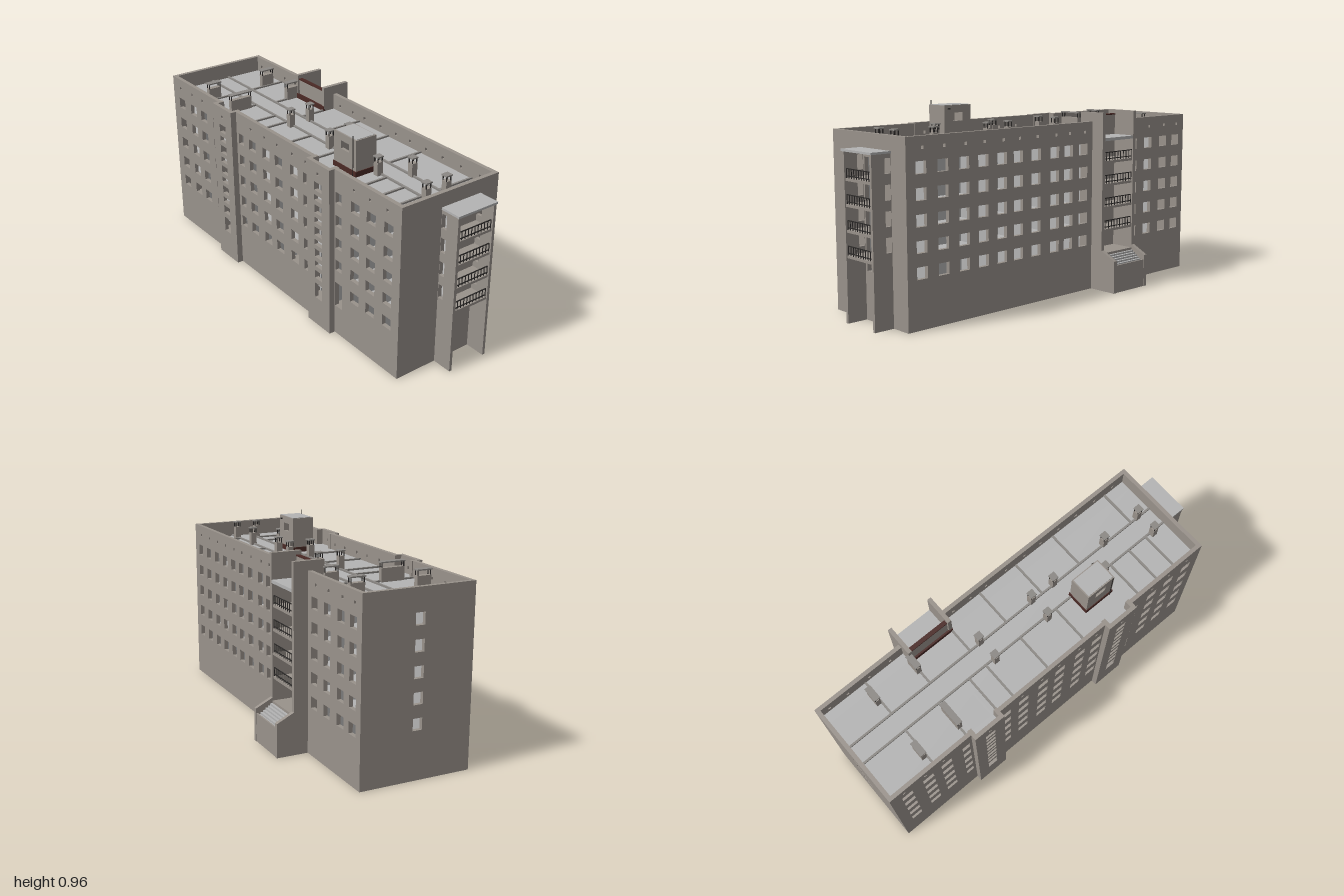
import * as THREE from 'three';

const mat = (name, color) => Object.assign(new THREE.MeshStandardMaterial({ color }), { name });

export function createModel() {
  const concrete = mat('concrete', 0x99928b);
  const panel = mat('light grey panel', 0xb4b4b4);
  const dark = mat('dark metal', 0x2c2a29);
  const flashing = mat('red brown flashing', 0x4a2925);
  const seam = mat('seam', 0x8c8985);
  const root = new THREE.Group();
  root.name = 'apartmentBlock';

  // box given by its limits
  const box = (name, m, x0, x1, y0, y1, z0, z1, parent = root) => {
    const b = new THREE.Mesh(new THREE.BoxGeometry(x1 - x0, y1 - y0, z1 - z0), m);
    b.position.set((x0 + x1) / 2, (y0 + y1) / 2, (z0 + z1) / 2);
    b.name = name;
    parent.add(b);
    return b;
  };
  // upright wall with rectangular holes [cx, cy, w, h]; z0 is its back face
  const wall = (name, a, b, y0, y1, z0, holes = [], t = 0.02) => {
    const rect = (P, l, r, d, u) => {
      const p = new P();
      p.moveTo(l, d); p.lineTo(r, d); p.lineTo(r, u); p.lineTo(l, u); p.closePath();
      return p;
    };
    const s = rect(THREE.Shape, a, b, y0, y1);
    for (const [cx, cy, w, h] of holes) s.holes.push(rect(THREE.Path, cx - w / 2, cx + w / 2, cy - h / 2, cy + h / 2));
    const m = new THREE.Mesh(new THREE.ExtrudeGeometry(s, { depth: t, bevelEnabled: false }), concrete);
    m.position.z = z0;
    m.name = name;
    root.add(m);
    return m;
  };
  // same wall turned to run along z, with its outer face (+x) at x
  const endWall = (name, x, z0, z1, y0, y1, holes, t = 0.02) => {
    const m = wall(name, z0, z1, y0, y1, 0, holes, t);
    m.rotation.y = -Math.PI / 2;
    m.position.set(x, 0, 0);
    return m;
  };

  const L = -0.995, R = 0.89, F = 0.335, B = -0.21, TOP = 0.85, BASE = 0.145, ROOF = 0.77;
  const rows = [0.255, 0.37, 0.485, 0.6, 0.715];
  const towers = [[-0.535, -0.365], [0.27, 0.44]];
  const bay = [-0.515, -0.265];

  // solid base
  box('base', concrete, L, R, 0, BASE, B, F);
  for (const [a, b] of towers) box('towerBase', concrete, a, b, 0, BASE, F, 0.365);

  // front and back walls with window grids [x, width]
  const grid = (cols, lo, hi) => {
    const h = [];
    for (const [x, w] of cols) {
      if (x < lo || x > hi) continue;
      rows.forEach((y, i) => {
        if (x === 0.468 && i === 0) h.push([x, 0.213, 0.052, 0.128]);
        else h.push([x, y, w, 0.055]);
      });
      if (w > 0.05) h.push([x - 0.01, 0.8, 0.014, 0.014]);
    }
    return h;
  };
  const frontCols = [[-0.91, 0.058], [-0.79, 0.06], [-0.685, 0.06], [-0.57, 0.043], [-0.325, 0.043], [-0.225, 0.06],
    [-0.105, 0.06], [0, 0.06], [0.125, 0.06], [0.23, 0.06], [0.468, 0.045], [0.585, 0.06], [0.695, 0.06], [0.81, 0.058]];
  const backCols = [[0.81, 0.058], [0.69, 0.06], [0.57, 0.06], [0.457, 0.06], [0.343, 0.06], [0.24, 0.06], [0.125, 0.06],
    [0, 0.06], [-0.095, 0.06], [-0.2, 0.06], [-0.577, 0.06], [-0.697, 0.06], [-0.82, 0.06], [-0.925, 0.058]];
  for (const [a, b] of [[L, -0.535], [-0.365, 0.27], [0.44, R]])
    wall('frontWall', a, b, BASE, TOP, F - 0.02, grid(frontCols, a, b));
  for (const [a, b] of [[L, bay[0]], [bay[1], R]])
    wall('backWall', a, b, BASE, TOP, B, grid(backCols, a, b));

  // end walls, open at the ends of the corridor
  const ends = rows.map(y => [0.066, y, 0.046, 0.055]);
  const doors = rows.map((y, i) => (i ? [0.066, y - 0.014, 0.05, 0.083] : [0.066, y, 0.04, 0.055]));
  endWall('rightEndWall', L + 0.02, B + 0.02, F - 0.02, BASE, TOP, ends);
  endWall('leftEndWall', R, B + 0.02, F - 0.02, BASE, TOP, doors);

  // front stair towers
  for (const [a, b] of towers) {
    const c = (a + b) / 2;
    const holes = [[c, 0.187, 0.055, 0.08]];
    for (let i = 0; i < 9; i++) holes.push([c, 0.275 + i * 0.0575, 0.055, i % 2 ? 0.028 : 0.042]);
    holes.push([c, 0.8, 0.014, 0.014]);
    wall('towerFront', a, b, BASE, TOP, 0.345, holes);
    for (const x of [a, b - 0.02]) box('towerSide', concrete, x, x + 0.02, BASE, TOP, F - 0.025, 0.345);
    box('towerRoof', panel, a + 0.02, b - 0.02, ROOF - 0.015, ROOF, F - 0.03, 0.345);
    for (let i = 0; i < 5; i++) box('stairLanding', panel, a + 0.02, b - 0.02, 0.2 + i * 0.115, 0.207 + i * 0.115, 0.26, 0.345);
    for (const x of [a + 0.02, b - 0.03]) box('stairWall', panel, x, x + 0.01, BASE, ROOF, 0.1, 0.31);
  }

  // floors and flat roof, cut back behind the rear bay
  const slab = (name, y, t) => {
    box(name, panel, L + 0.02, R - 0.02, y - t, y, -0.14, F - 0.02);
    box(name, panel, L + 0.02, bay[0], y - t, y, B + 0.02, -0.14);
    box(name, panel, bay[1], R - 0.02, y - t, y, B + 0.02, -0.14);
  };
  for (let i = 1; i < 5; i++) slab('floor', 0.195 + i * 0.115, 0.01);
  slab('roof', ROOF, 0.02);

  // corridor walls, with gaps where facing rooms connect
  const gaps = [[-0.105, -0.075], [-0.025, 0.01], [0.665, 0.7]];
  for (const z of [0, 0.1]) {
    let x = L + 0.02;
    for (const [a, b] of [...gaps, [R - 0.02, 0]]) {
      box('corridorWall', panel, x, a, BASE, ROOF - 0.01, z, z + 0.01);
      x = b;
    }
    box('roofSeam', seam, L + 0.02, R - 0.02, ROOF, ROOF + 0.008, z, z + 0.01);
  }
  // room partitions and the roof seams above them
  const partition = (x, z0, z1) => {
    box('partition', panel, x - 0.005, x + 0.005, BASE, ROOF - 0.01, z0, z1);
    box('roofSeam', seam, x - 0.005, x + 0.005, ROOF, ROOF + 0.008, z0, z1);
  };
  for (const x of [-0.735, -0.51, -0.27, -0.05, 0.175, 0.41, 0.75]) partition(x, x === -0.51 || x === -0.27 ? -0.13 : B + 0.02, 0);
  for (const x of [-0.735, -0.54, -0.36, -0.26, -0.05, 0.17, 0.52, 0.64, 0.75]) partition(x, 0.11, F - 0.02);

  // railing along x or z, from a to b at fixed depth d
  const railing = (axis, a, b, y, d) => {
    const g = new THREE.Group();
    g.name = 'railing';
    const bar = (p, q, y0, y1, t) => (axis === 'x'
      ? box('bar', dark, p, q, y0, y1, d - t, d + t, g)
      : box('bar', dark, d - t, d + t, y0, y1, p, q, g));
    for (const h of [0.008, 0.04]) bar(a, b, y + h, y + h + 0.004, 0.002);
    for (let i = 0; i <= 10; i++) {
      const p = a + (b - a) * i / 10;
      bar(p - 0.0015, p + 0.0015, y, y + 0.04, 0.0015);
    }
    root.add(g);
  };

  // balcony stack on the left end
  const notches = rows.slice(1).map(y => [0.907, y + 0.005, 0.03, 0.068]);
  wall('balconySide', R, 0.99, 0, 0.775, 0.1, notches, 0.014);
  wall('balconySide', R, 0.99, 0, 0.775, -0.104, notches, 0.014);
  box('balconyRoof', panel, R, 0.995, 0.773, 0.783, -0.107, 0.117);
  for (let i = 0; i < 4; i++) {
    const y = 0.31 + i * 0.115;
    box('balconySlab', concrete, R, 0.985, y - 0.012, y, -0.09, 0.1);
    railing('z', -0.088, 0.098, y, 0.98);
  }

  // rear bay: stepped side fins drawn in (z, y)
  const fin = new THREE.Shape([[-0.13, 0], [-0.13, 0.895], [-0.28, 0.895], [-0.28, 0.205], [-0.365, 0.163], [-0.365, 0]]
    .map(p => new THREE.Vector2(...p)));
  for (const x of [bay[0] + 0.02, bay[1]]) {
    const m = new THREE.Mesh(new THREE.ExtrudeGeometry(fin, { depth: 0.02, bevelEnabled: false }), concrete);
    m.rotation.y = -Math.PI / 2;
    m.position.x = x;
    m.name = 'bayFin';
    root.add(m);
  }
  const i0 = bay[0] + 0.02, i1 = bay[1] - 0.02, bc = (i0 + i1) / 2;
  wall('bayBackWall', i0, i1, BASE, 0.87, -0.155, rows.map(y => [bc, y - 0.012, 0.06, 0.08]), 0.015);
  box('bayFlashing', flashing, bay[0], bay[1], ROOF, 0.795, -0.135, -0.126);
  box('bayHeaderCap', flashing, i0, i1, 0.87, 0.876, -0.158, -0.137);
  box('bayRoof', panel, i0, i1, ROOF - 0.015, ROOF, -0.28, -0.155);
  for (let i = 0; i < 4; i++) {
    const y = 0.31 + i * 0.115;
    box('bayBalcony', concrete, i0, i1, y - 0.012, y, -0.275, -0.155);
    railing('x', i0, i1, y, -0.27);
  }
  // entrance platform, steps and front wall
  box('bayPlatform', concrete, i0, i1, 0, 0.19, -0.28, -0.155);
  for (let i = 0; i < 6; i++) box('step', panel, i0, i1, 0, 0.178 - i * 0.009, -0.28 - (i + 1) * 0.0125, -0.28 - i * 0.0125);
  box('stepFront', concrete, i0, i1, 0, 0.14, -0.363, -0.355);

  // rooftop machine room
  const hx0 = 0.27, hx1 = 0.43, hole = [[0.35, 0.89, 0.06, 0.04]];
  wall('machineRoomFront', hx0, hx1, ROOF, 0.945, 0.195, hole, 0.015);
  wall('machineRoomBack', hx0, hx1, ROOF, 0.945, 0.095, hole, 0.015);
  for (const x of [hx0, hx1 - 0.015]) box('machineRoomSide', concrete, x, x + 0.015, ROOF, 0.945, 0.11, 0.195);
  box('machineRoomRoof', panel, hx0 + 0.006, hx1 - 0.006, 0.936, 0.947, 0.1, 0.204);
  box('machineRoomFlashing', flashing, hx0 - 0.004, hx1 + 0.004, ROOF, 0.795, 0.091, 0.214);
  box('machineRoomLamp', dark, 0.4, 0.41, 0.926, 0.932, 0.088, 0.095);
  box('antenna', dark, 0.413, 0.416, ROOF, 0.965, 0.214, 0.217);

  // chimney vents: body, corner posts and cap [x, z, width, depth]
  const vents = [[-0.75, -0.1, 0.026, 0.07], [-0.515, -0.1, 0.026, 0.07], [-0.75, 0.23, 0.026, 0.07], [-0.54, 0.2, 0.024, 0.12]];
  for (const x of [-0.21, 0.11, 0.245, 0.57, 0.79]) vents.push([x, 0, 0.028, 0.03]);
  for (const x of [-0.21, 0.11, 0.47, 0.79]) vents.push([x, 0.115, 0.028, 0.03]);
  for (const [x, z, w, d] of vents) {
    const g = new THREE.Group();
    g.name = 'roofVent';
    root.add(g);
    const u = w / 2, v = d / 2;
    box('ventBody', concrete, x - u, x + u, ROOF, 0.835, z - v, z + v, g);
    for (const i of [-1, 1]) for (const j of [-1, 1]) {
      const px = x + i * (u - 0.003), pz = z + j * (v - 0.003);
      box('ventPost', dark, px - 0.002, px + 0.002, 0.835, 0.859, pz - 0.002, pz + 0.002, g);
    }
    box('ventCap', seam, x - u - 0.003, x + u + 0.003, 0.858, 0.864, z - v - 0.003, z + v + 0.003, g);
  }
  return root;
}
